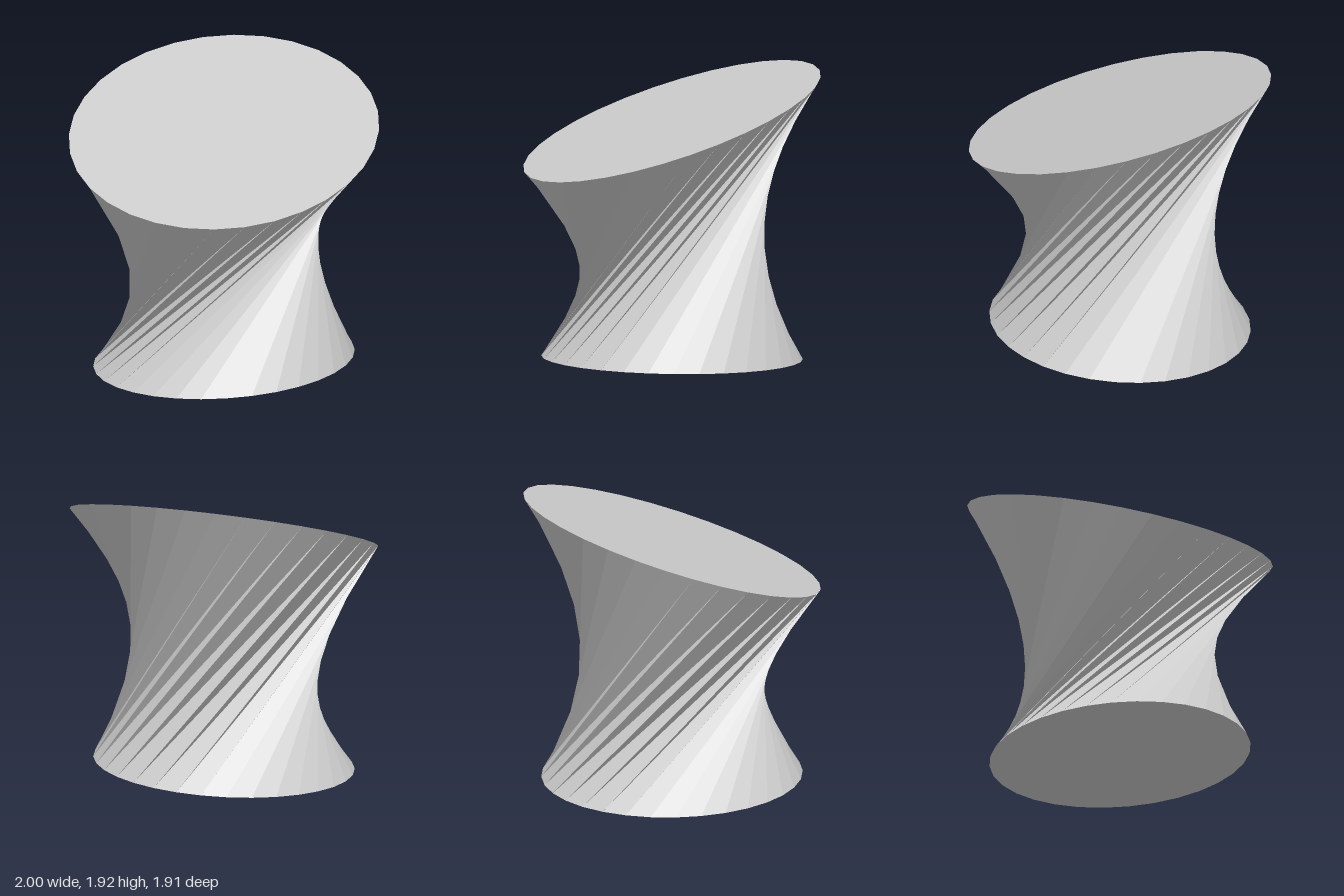
import * as THREE from 'three';

const SIDES = 32;
const TWIST = THREE.MathUtils.degToRad(96);
const START = THREE.MathUtils.degToRad(3.2);

// Points on the two tilted rims; the lower rim is turned against the upper one
function topPoint(i) {
  const a = START + (i / SIDES) * Math.PI * 2;
  const z = 0.955 * Math.sin(a);
  return [Math.cos(a), 1.613 - 0.328 * z, z];
}

function bottomPoint(i) {
  const a = START + TWIST + (i / SIDES) * Math.PI * 2;
  const x = 0.84 * Math.cos(a), z = 0.84 * Math.sin(a);
  return [x, 0.065 + 0.07 * x + 0.028 * z, z];
}

function facetedMesh(name, positions) {
  const geometry = new THREE.BufferGeometry();
  geometry.setAttribute('position', new THREE.Float32BufferAttribute(positions, 3));
  geometry.computeVertexNormals();
  const material = new THREE.MeshStandardMaterial({ color: 0xcccccc, flatShading: true });
  const mesh = new THREE.Mesh(geometry, material);
  mesh.name = name;
  return mesh;
}

export function createModel() {
  const wall = [], topCap = [], bottomCap = [];
  for (let i = 0; i < SIDES; i++) {
    const t0 = topPoint(i), t1 = topPoint(i + 1);
    const b0 = bottomPoint(i), b1 = bottomPoint(i + 1);
    // Slanted straight strips form the waisted wall
    wall.push(...b0, ...t0, ...b1, ...t0, ...t1, ...b1);
    // Flat tilted ends
    topCap.push(0, 1.613, 0, ...t1, ...t0);
    bottomCap.push(0, 0.065, 0, ...b0, ...b1);
  }

  const model = new THREE.Group();
  model.name = 'twistedDrum';
  model.add(
    facetedMesh('twistedWall', wall),
    facetedMesh('topCap', topCap),
    facetedMesh('bottomCap', bottomCap)
  );
  return model;
}
